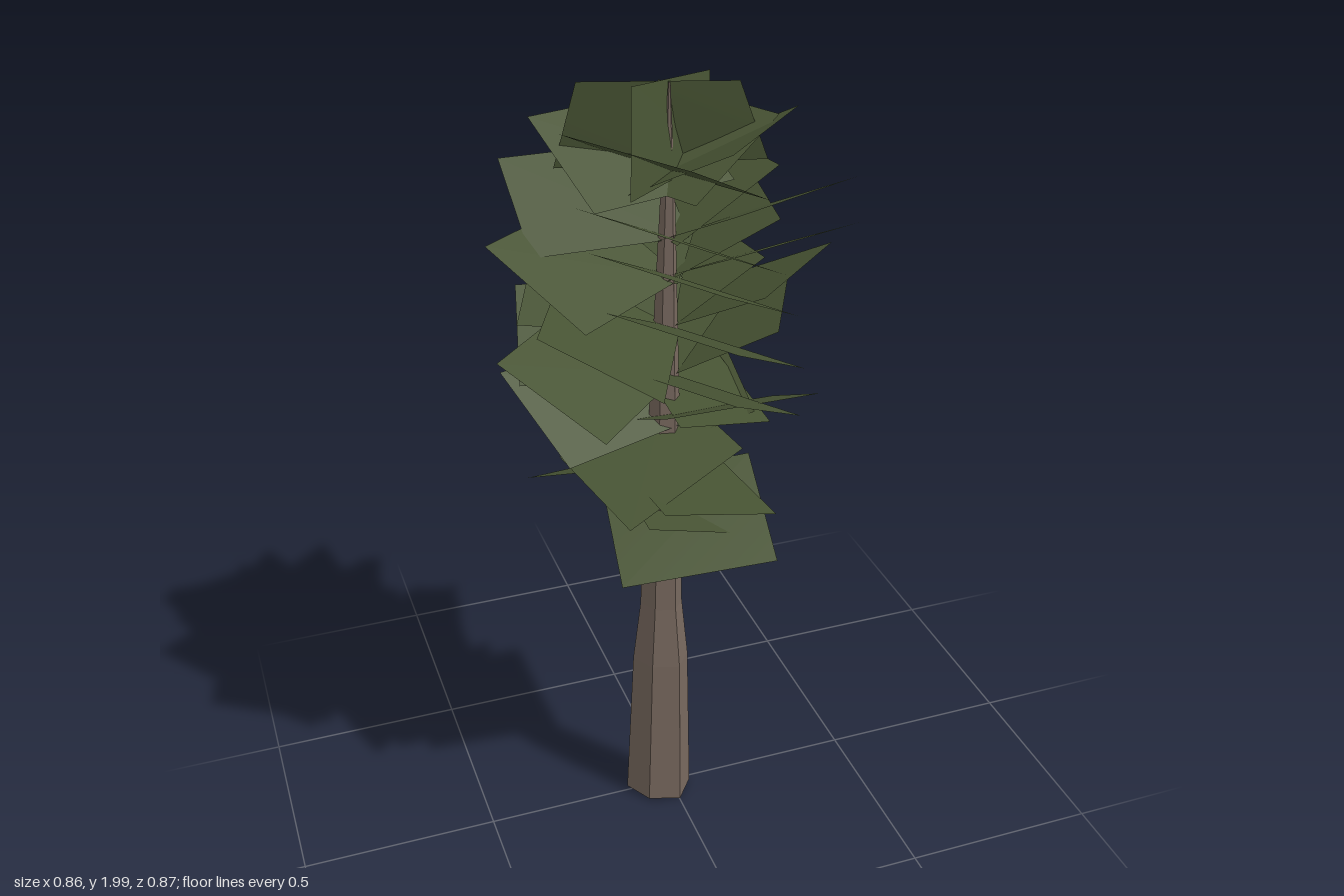
import * as THREE from 'three';

const bark = new THREE.MeshStandardMaterial({ color: 0x77685e, flatShading: true });
bark.name = 'bark brown';
const needles = new THREE.MeshStandardMaterial({ color: 0x475333, side: THREE.DoubleSide });
needles.name = 'needle green';

// One flat foliage card from four corners in order
function card(name, corners) {
  const geometry = new THREE.BufferGeometry();
  geometry.setAttribute('position', new THREE.Float32BufferAttribute(corners.flat(), 3));
  geometry.setIndex([0, 1, 2, 0, 2, 3]);
  geometry.computeVertexNormals();
  const mesh = new THREE.Mesh(geometry, needles);
  mesh.name = name;
  return mesh;
}

// Card pitched like a propeller blade: reach is how far its outer end lies from
// the trunk axis, side how far its high edge is pushed out sideways
function blade(name, top, reach, side, yaw, drop = 0.14) {
  const inner = reach - 0.37, low = side - 0.27;
  const mesh = card(name, [
    [inner, top - drop, low], [inner, top, side], [reach, top, side], [reach, top - drop, low],
  ]);
  mesh.rotation.y = THREE.MathUtils.degToRad(yaw);
  return mesh;
}

// Tapering trunk: an uneven five-sided section, scaled up the profile with a slight lean
function makeTrunk() {
  const section = [[0.04, 0.075], [0.09, 0.01], [-0.01, -0.11], [-0.08, -0.02], [-0.04, 0.05]];
  const profile = [[0, 0.01], [1, 0.015], [0.83, 0.45], [0.62, 0.62], [0.56, 0.85],
    [0.42, 1.2], [0.2, 1.7], [0.03, 1.97]].map(([scale, y]) => new THREE.Vector2(scale, y));
  const geometry = new THREE.LatheGeometry(profile, section.length);
  const p = geometry.attributes.position;
  for (let i = 0; i < p.count; i++) {
    const { x: scale, y } = profile[i % profile.length];
    const [x, z] = section[Math.floor(i / profile.length) % section.length];
    p.setXYZ(i, x * scale - 0.04 + 0.02 * y, y, z * scale + 0.01 - 0.005 * y);
  }
  geometry.computeVertexNormals();
  const mesh = new THREE.Mesh(geometry, bark);
  mesh.name = 'trunk';
  return mesh;
}

export function createModel() {
  const tree = new THREE.Group();
  tree.name = 'tree';
  tree.add(makeTrunk());

  // Dense whorls: top height, reach, side, yaw of each card
  const tiers = [
    [1.88, 0.235, 0.21, [45, 117, 195, 301]],
    [1.75, 0.325, 0.263, [22, 101, 180, 300]],
    [1.65, 0.345, 0.25, [16, 80, 145, 216, 302]],
    [1.52, 0.36, 0.247, [42, 98, 152, 245, 304]],
    [1.4, 0.355, 0.255, [63, 125, 166, 225, 305]],
  ];
  tiers.forEach(([top, reach, side, yaws], n) => {
    const whorl = new THREE.Group();
    whorl.name = `foliageTier${n + 1}`;
    for (const yaw of yaws) whorl.add(blade('foliageCard', top, reach, side, yaw));
    tree.add(whorl);
  });

  // Sparse lower branches
  tree.add(
    blade('lowerCard', 1.285, 0.28, 0.24, 0),
    blade('lowerCard', 1.28, 0.32, 0.24, 200),
    blade('lowerCard', 1.17, 0.33, 0.2, 80, 0.09),
  );
  const lower = [
    [[0.22, 1.15, 0.1], [0.22, 1.17, -0.27], [-0.03, 1.25, -0.28], [-0.03, 1.21, 0.16]],
    [[-0.2, 1.05, 0.3], [0.13, 1.12, 0.15], [0.05, 1.17, -0.14], [-0.28, 1.1, 0.01]],
    [[0.17, 1.0, 0.27], [-0.12, 1.08, 0.31], [-0.15, 1.07, -0.05], [0.13, 1.0, -0.08]],
    [[-0.31, 0.93, -0.2], [0.03, 0.905, -0.27], [0.13, 1.0, -0.04], [-0.21, 1.05, 0.02]],
    [[0.18, 0.84, 0.1], [0.18, 0.84, -0.15], [-0.1, 0.935, -0.23], [-0.1, 0.935, 0.14]],
    [[-0.18, 0.805, 0.17], [0.2, 0.83, 0.22], [0.25, 0.95, -0.1], [-0.13, 0.91, -0.15]],
  ];
  for (const corners of lower) tree.add(card('lowerCard', corners));

  // Two steep crossing cards at the crown
  tree.add(
    card('crownCard', [[-0.12, 2.0, 0.1], [0.15, 1.94, -0.15], [0.14, 1.74, -0.12], [-0.15, 1.78, 0.18]]),
    card('crownCard', [[-0.2, 1.98, -0.035], [0.16, 1.96, 0.01], [0.235, 1.77, 0], [-0.245, 1.78, -0.075]]),
  );
  return tree;
}
